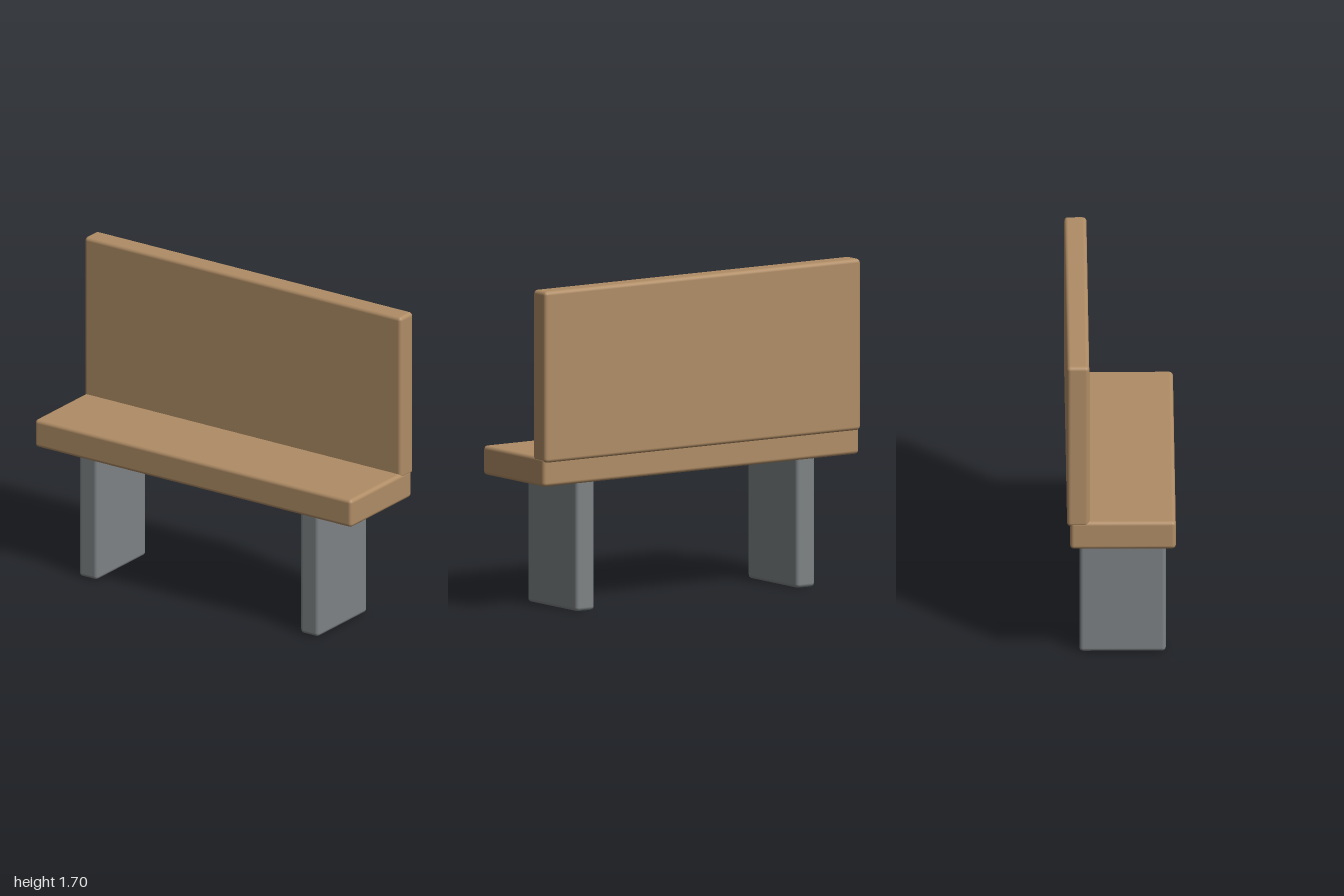
import * as THREE from 'three';
import { RoundedBoxGeometry } from 'three/addons/geometries/RoundedBoxGeometry.js';

const wood = new THREE.MeshStandardMaterial({ color: 0xb08d66 });
const concrete = new THREE.MeshStandardMaterial({ color: 0x7d8284 });

// Rounded block given by its lower and upper limits on each axis
function block(name, material, [x0, x1], [y0, y1], [z0, z1]) {
  const geometry = new RoundedBoxGeometry(x1 - x0, y1 - y0, z1 - z0, 3, 0.02);
  const mesh = new THREE.Mesh(geometry, material);
  mesh.position.set((x0 + x1) / 2, (y0 + y1) / 2, (z0 + z1) / 2);
  mesh.name = name;
  return mesh;
}

export function createModel() {
  const bench = new THREE.Group();
  bench.name = 'bench';

  // Seat plank, with the backrest panel overhanging its rear edge slightly
  bench.add(block('seat', wood, [-1, 1], [0.678, 0.831], [-0.265, 0.281]));
  bench.add(block('backrest', wood, [-1, 1], [0.805, 1.7], [-0.281, -0.166]));

  // Two slab legs, their tops sunk into the seat
  for (const [name, x] of [['leftLeg', 0.698], ['rightLeg', -0.698]]) {
    bench.add(block(name, concrete, [x - 0.058, x + 0.058], [0, 0.7], [-0.215, 0.231]));
  }
  return bench;
}
